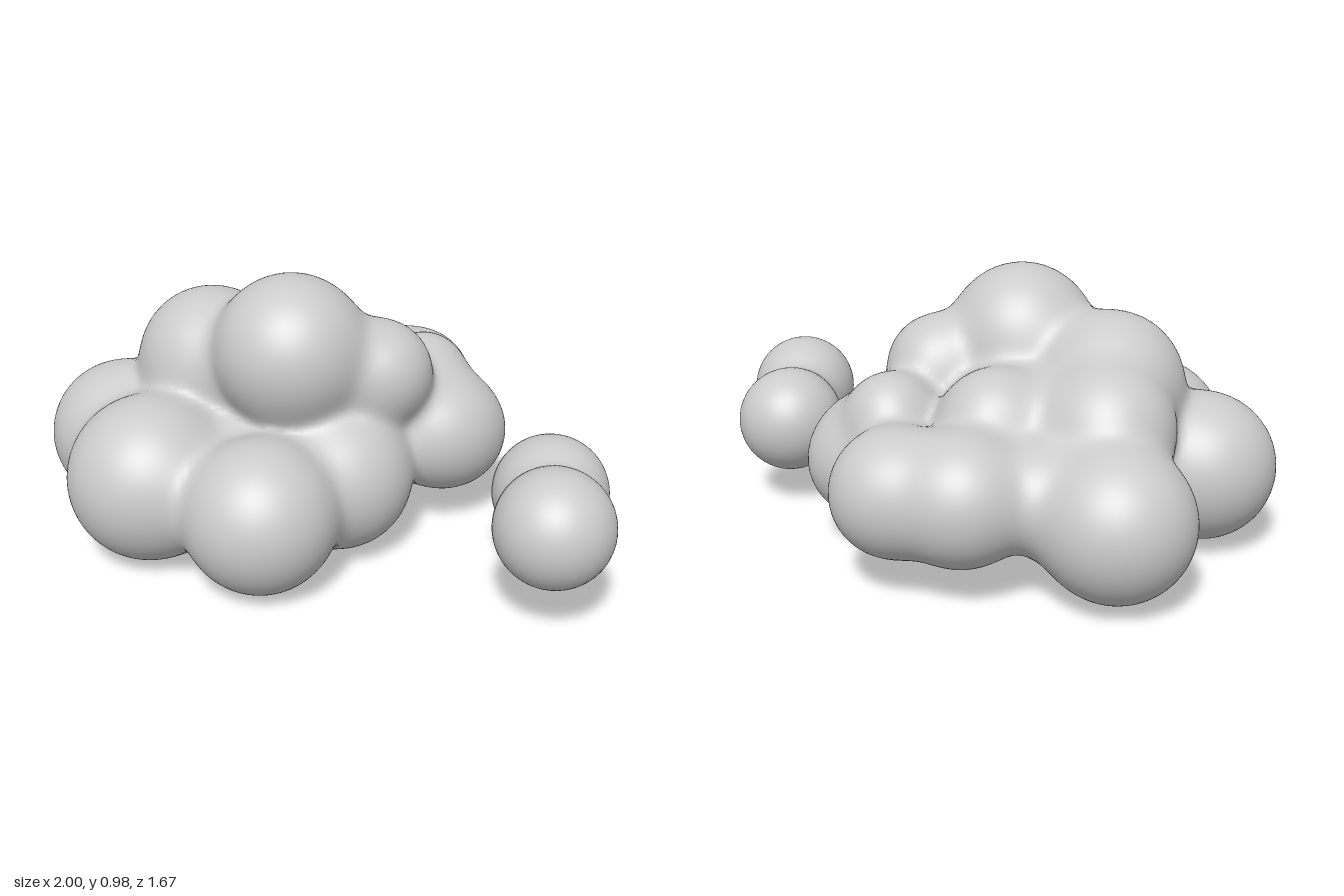
import * as THREE from 'three';

const BLEND = 0.034; // softness of the fillet between neighbouring puffs
const CELL = 0.02;   // sampling grid spacing

// Puffs as [x, y, z, radius]
const mainPuffs = [
  // lower ring
  [-0.42, 0.29, -0.57, 0.262],
  [-0.735, 0.298, -0.03, 0.264],
  [-0.56, 0.297, 0.32, 0.287],
  [-0.15, 0.267, 0.50, 0.261],
  [0.08, 0.283, 0.205, 0.256],
  [0.45, 0.33, -0.12, 0.2],
  [0.405, 0.36, -0.055, 0.2],
  [0.305, 0.347, -0.475, 0.219],
  [0.08, 0.35, -0.535, 0.226],
  // upper heap
  [-0.09, 0.72, 0.14, 0.264],
  [0.205, 0.625, 0.07, 0.183],
  [-0.405, 0.60, -0.05, 0.258],
  [-0.39, 0.515, -0.31, 0.228],
  [-0.01, 0.52, -0.27, 0.185],
  [0.35, 0.515, -0.19, 0.15],
  // core and fills between the outer puffs
  [-0.07, 0.41, -0.1, 0.245],
  [-0.28, 0.28, -0.37, 0.22],
  [-0.17, 0.35, -0.49, 0.17],
  [-0.2, 0.48, -0.22, 0.18],
  [-0.25, 0.3, 0.2, 0.19],
  [-0.3, 0.35, 0, 0.2],
];
const smallPuffs = [
  [0.805, 0.365, 0.64, 0.195],
  [0.805, 0.325, 0.325, 0.195],
];

// Smoothly blended distance to a set of balls; fills grad when given
function field(puffs, p, grad) {
  let sum = 0, gx = 0, gy = 0, gz = 0;
  for (const [x, y, z, r] of puffs) {
    const dx = p[0] - x, dy = p[1] - y, dz = p[2] - z;
    const d = Math.hypot(dx, dy, dz) || 1e-6;
    const w = Math.exp((r - d) / BLEND);
    sum += w;
    gx += w * dx / d; gy += w * dy / d; gz += w * dz / d;
  }
  if (grad) { grad[0] = gx / sum; grad[1] = gy / sum; grad[2] = gz / sum; }
  return -BLEND * Math.log(sum + 1e-200);
}

// Skins the blended balls with a surface net
function blobGeometry(puffs) {
  const pad = 0.1;
  const lo = [0, 1, 2].map((a) => Math.min(...puffs.map((s) => s[a] - s[3])) - pad);
  const hi = [0, 1, 2].map((a) => Math.max(...puffs.map((s) => s[a] + s[3])) + pad);
  const n = lo.map((v, a) => Math.ceil((hi[a] - v) / CELL) + 1);
  const step = [1, n[0], n[0] * n[1]];
  const values = new Float32Array(n[0] * n[1] * n[2]);
  const eachNode = (from, margin, visit) => {
    for (let k = from; k < n[2] - margin; k++)
      for (let j = from; j < n[1] - margin; j++)
        for (let i = from; i < n[0] - margin; i++) visit([i, j, k], i + j * step[1] + k * step[2]);
  };
  eachNode(0, 0, (c, id) => { values[id] = field(puffs, c.map((v, a) => lo[a] + v * CELL)); });

  // one vertex per cell that the surface crosses
  const positions = [], normals = [], index = [];
  const vertexOf = new Int32Array(values.length).fill(-1);
  const corner = [...Array(8).keys()].map((b) => [b & 1, (b >> 1) & 1, b >> 2]);
  eachNode(0, 1, (c, id) => {
    const f = corner.map((o) => values[id + o[0] + o[1] * step[1] + o[2] * step[2]]);
    const p = [0, 0, 0], g = [0, 0, 0];
    let count = 0;
    for (let b = 0; b < 8; b++) for (let a = 0; a < 3; a++) {
      const e = b | (1 << a);
      if (e === b || (f[b] < 0) === (f[e] < 0)) continue;
      const t = f[b] / (f[b] - f[e]);
      for (let q = 0; q < 3; q++) p[q] += corner[b][q] + (q === a ? t : 0);
      count++;
    }
    if (!count) return;
    for (let q = 0; q < 3; q++) p[q] = lo[q] + (c[q] + p[q] / count) * CELL;
    // pull the vertex onto the exact surface
    for (let s = 0; s < 3; s++) {
      const d = field(puffs, p, g);
      const len2 = Math.max(0.2, g[0] ** 2 + g[1] ** 2 + g[2] ** 2);
      for (let q = 0; q < 3; q++) p[q] -= d * g[q] / len2;
    }
    field(puffs, p, g);
    const len = Math.hypot(...g) || 1;
    vertexOf[id] = positions.length / 3;
    positions.push(...p);
    normals.push(...g.map((v) => v / len));
  });

  // one quad around each grid edge that the surface crosses
  eachNode(1, 1, (c, id) => {
    for (let a = 0; a < 3; a++) {
      const inside = values[id] < 0;
      if (inside === (values[id + step[a]] < 0)) continue;
      const b = step[(a + 1) % 3], d = step[(a + 2) % 3];
      const quad = [id, id - b, id - b - d, id - d].map((v) => vertexOf[v]);
      if (!inside) quad.reverse();
      index.push(quad[0], quad[1], quad[2], quad[0], quad[2], quad[3]);
    }
  });

  const geometry = new THREE.BufferGeometry();
  geometry.setAttribute('position', new THREE.Float32BufferAttribute(positions, 3));
  geometry.setAttribute('normal', new THREE.Float32BufferAttribute(normals, 3));
  geometry.setIndex(index);
  return geometry;
}

export function createModel() {
  const model = new THREE.Group();
  model.name = 'cloud';
  const material = new THREE.MeshStandardMaterial({ color: 0xcccccc });
  const addCloud = (name, puffs) => {
    const mesh = new THREE.Mesh(blobGeometry(puffs), material);
    mesh.name = name;
    model.add(mesh);
  };
  addCloud('mainCloud', mainPuffs);
  addCloud('smallCloud', smallPuffs);
  return model;
}
